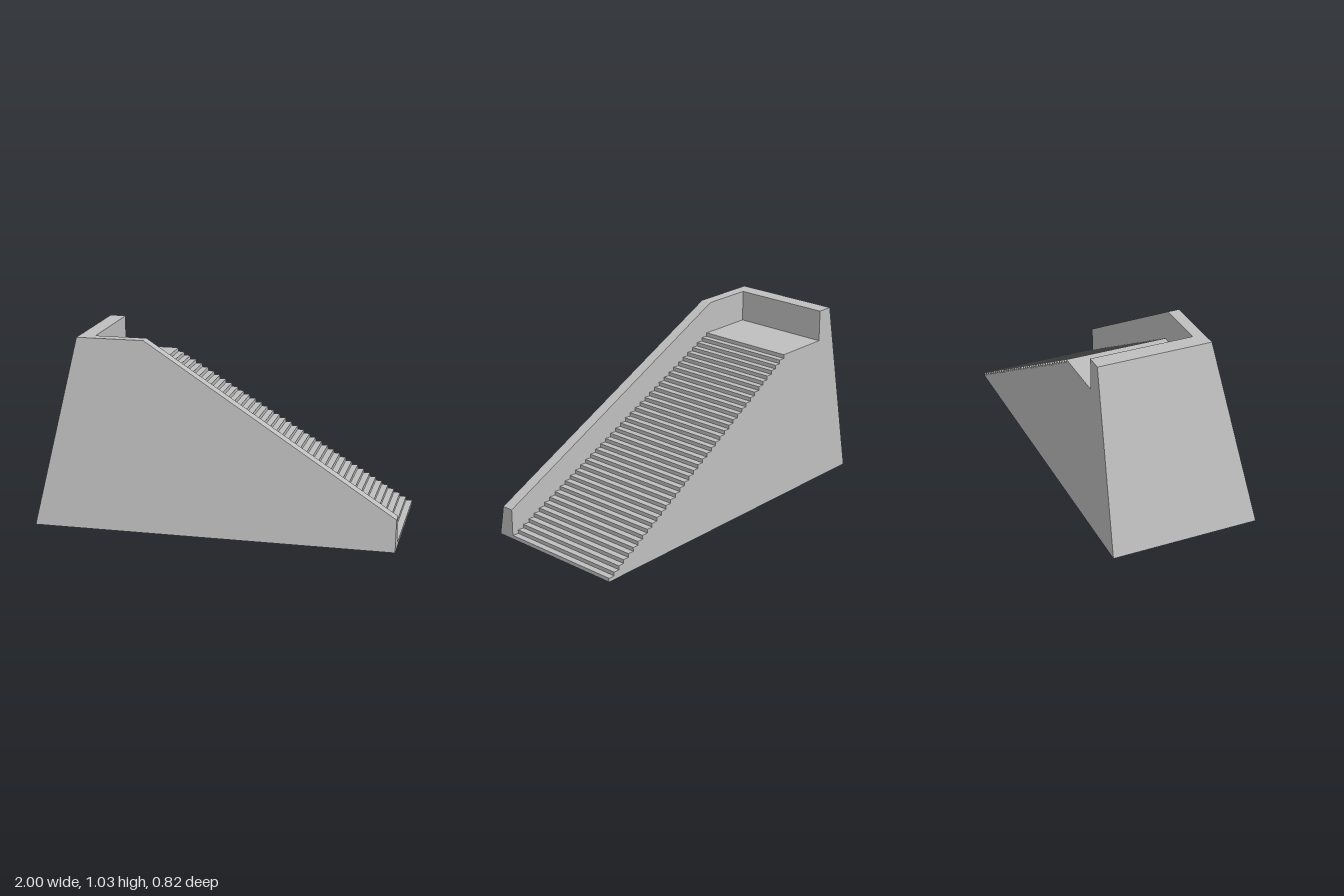
import * as THREE from 'three';

const BACK = -0.412, TOP = 1.03, DECK = 0.855;
const STEPS = 40, DECK_EDGE = -0.39, BEND = -0.42, INNER_X = -0.71;

// Leaning outer face and flaring inner face of the front wall
const outerZ = (x, y) => 0.412 - 0.192 * y;
const innerZ = (x) => 0.15 + 0.163 * Math.max(0, (x - BEND) / (1 - BEND));
const backZ = () => BACK;

// Extrudes an x/y outline, then fits its two caps to the given z rules
function slab(name, outline, zBack, zFront, material) {
  const shape = new THREE.Shape(outline.map(([x, y]) => new THREE.Vector2(x, y)));
  const geometry = new THREE.ExtrudeGeometry(shape, { depth: 1, bevelEnabled: false });
  const p = geometry.attributes.position;
  for (let i = 0; i < p.count; i++) {
    const rule = p.getZ(i) > 0.5 ? zFront : zBack;
    p.setZ(i, rule(p.getX(i), p.getY(i)));
  }
  geometry.computeVertexNormals();
  const mesh = new THREE.Mesh(geometry, material);
  mesh.name = name;
  return mesh;
}

export function createModel() {
  const group = new THREE.Group();
  group.name = 'walledStaircase';
  const stone = new THREE.MeshStandardMaterial({ color: 0xbfbfbf });
  stone.name = 'grey stone';

  // Solid flight of steps with the landing at its head
  const rise = DECK / STEPS, run = (1 - DECK_EDGE) / (STEPS - 1);
  const steps = [[INNER_X, 0], [1, 0]];
  for (let i = 0; i < STEPS; i++) {
    const x = 1 - i * run;
    if (i > 0) steps.push([x, i * rise]);
    steps.push([x, (i + 1) * rise]);
  }
  steps.push([INNER_X, DECK]);
  group.add(slab('stairsAndLanding', steps, backZ, innerZ, stone));

  // End wall behind the landing, with a battered outer face
  const end = [[-1, 0], [INNER_X, 0], [INNER_X, TOP], [-0.8, TOP]];
  group.add(slab('endWall', end, backZ, innerZ, stone));

  // Front wall: level part beside the landing, sloping part beside the steps
  const level = [[-1, 0], [BEND, 0], [BEND, TOP], [-0.8, TOP]];
  const sloping = [[BEND, 0], [1, 0], [1, 0.172], [BEND, TOP]];
  group.add(slab('frontWallLevel', level, innerZ, outerZ, stone));
  group.add(slab('frontWallSloping', sloping, innerZ, outerZ, stone));

  return group;
}
